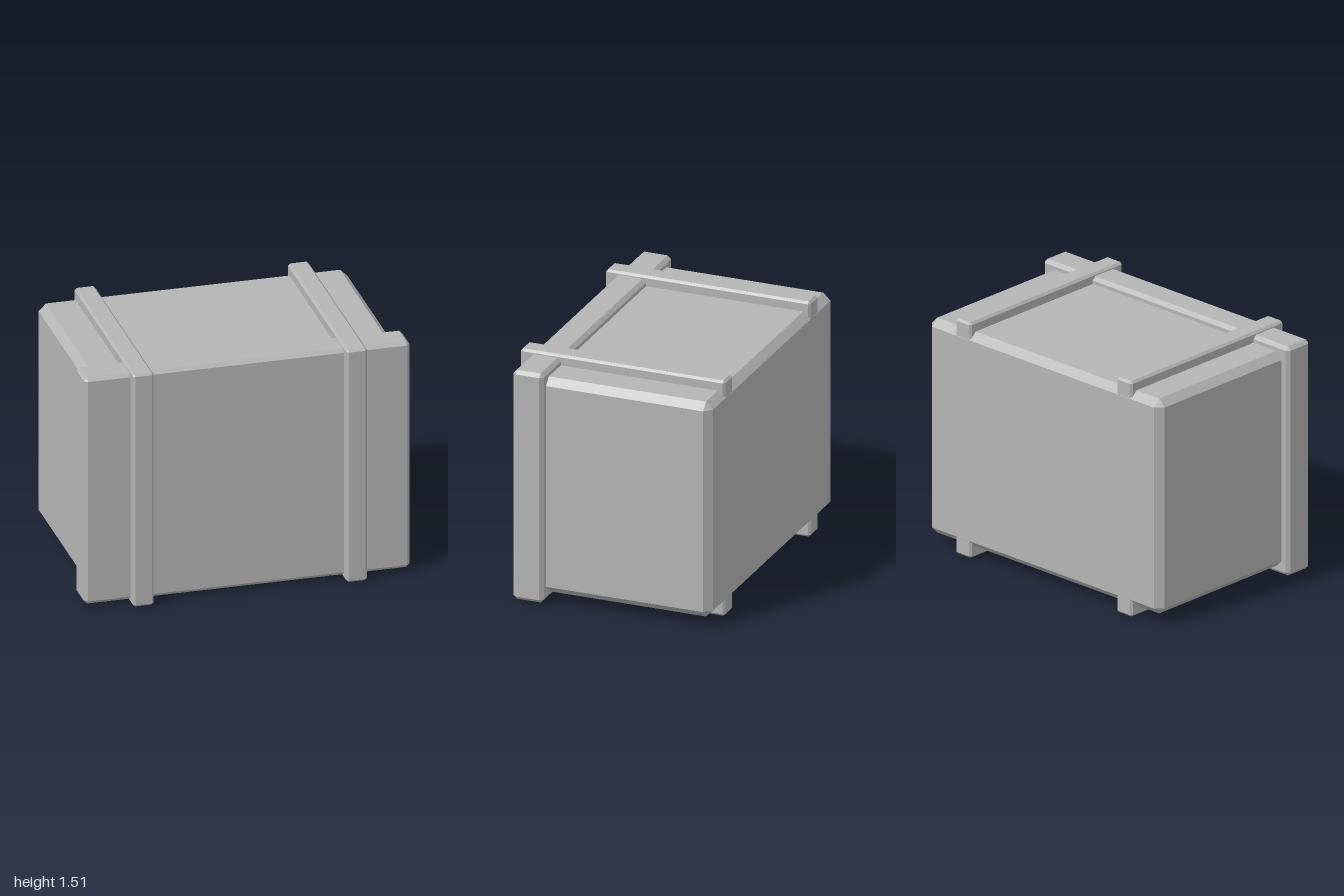
import * as THREE from 'three';
import { ConvexGeometry } from 'three/addons/geometries/ConvexGeometry.js';

// Box between two corners with every edge chamfered by c
function chamferBox(min, max, c) {
  const centre = min.map((v, i) => (v + max[i]) / 2);
  const half = min.map((v, i) => (max[i] - v) / 2);
  const points = [];
  for (const sx of [-1, 1]) for (const sy of [-1, 1]) for (const sz of [-1, 1]) {
    const sign = [sx, sy, sz];
    // each corner is cut into three points, one per adjoining face
    for (let face = 0; face < 3; face++) {
      points.push(new THREE.Vector3(...sign.map((s, i) => s * (half[i] - (i === face ? 0 : c)))));
    }
  }
  return new ConvexGeometry(points).translate(...centre);
}

export function createModel() {
  const group = new THREE.Group();
  group.name = 'crate';
  const grey = new THREE.MeshStandardMaterial({ color: 0xb4b4b4 });
  grey.name = 'grey';

  const add = (name, min, max, c) => {
    const mesh = new THREE.Mesh(chamferBox(min, max, c), grey);
    mesh.name = name;
    group.add(mesh);
  };

  // Main box, its front edge tucked inside the lid
  add('body', [-0.948, 0.067, -0.656], [0.948, 1.444, 0.5], 0.045);

  // Wider slab closing the front
  add('lid', [-1, 0.02, 0.395], [1, 1.488, 0.59], 0.022);

  // Two bands running around the box
  for (const [name, x] of [['leftStrap', 0.655], ['rightStrap', -0.655]]) {
    add(name, [x - 0.064, 0, -0.655], [x + 0.064, 1.508, 0.656], 0.014);
  }

  return group;
}
